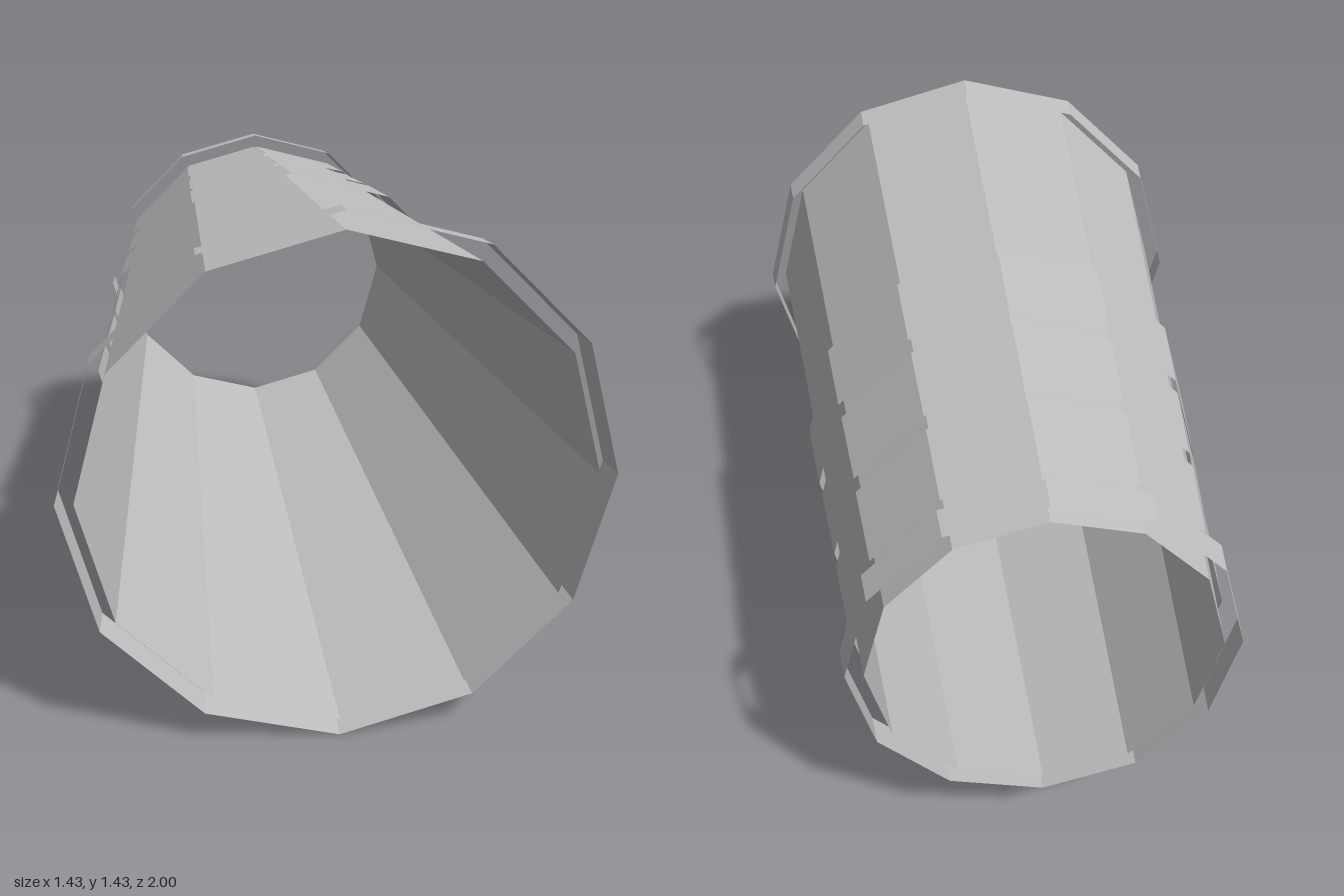
import * as THREE from 'three';

export function createModel() {
  const group = new THREE.Group();
  const grey = new THREE.MeshStandardMaterial({ color: 0xc0c0c0, flatShading: true, side: THREE.DoubleSide });
  grey.name = 'grey';

  // Open twelve-sided tapered sleeve lying along z
  function sleeve(name, zFront, zBack, rFront, rBack) {
    const geometry = new THREE.CylinderGeometry(rFront, rBack, zFront - zBack, 12, 1, true);
    geometry.rotateX(Math.PI / 2);
    const mesh = new THREE.Mesh(geometry, grey);
    mesh.name = name;
    mesh.position.set(0, 0.715, (zFront + zBack) / 2);
    group.add(mesh);
  }

  // Main tapered tube, open at both ends
  sleeve('tube', 1, -1, 0.666, 0.474);

  // Thin bands standing clear of the tube
  sleeve('frontRim', 1, 0.91, 0.713, 0.704);
  sleeve('middleBand', 0.045, -0.215, 0.596, 0.57);
  sleeve('gripBand', -0.27, -0.53, 0.563, 0.535);
  sleeve('rearBand', -0.585, -0.845, 0.532, 0.505);
  sleeve('backRim', -0.91, -1, 0.533, 0.523);

  return group;
}
